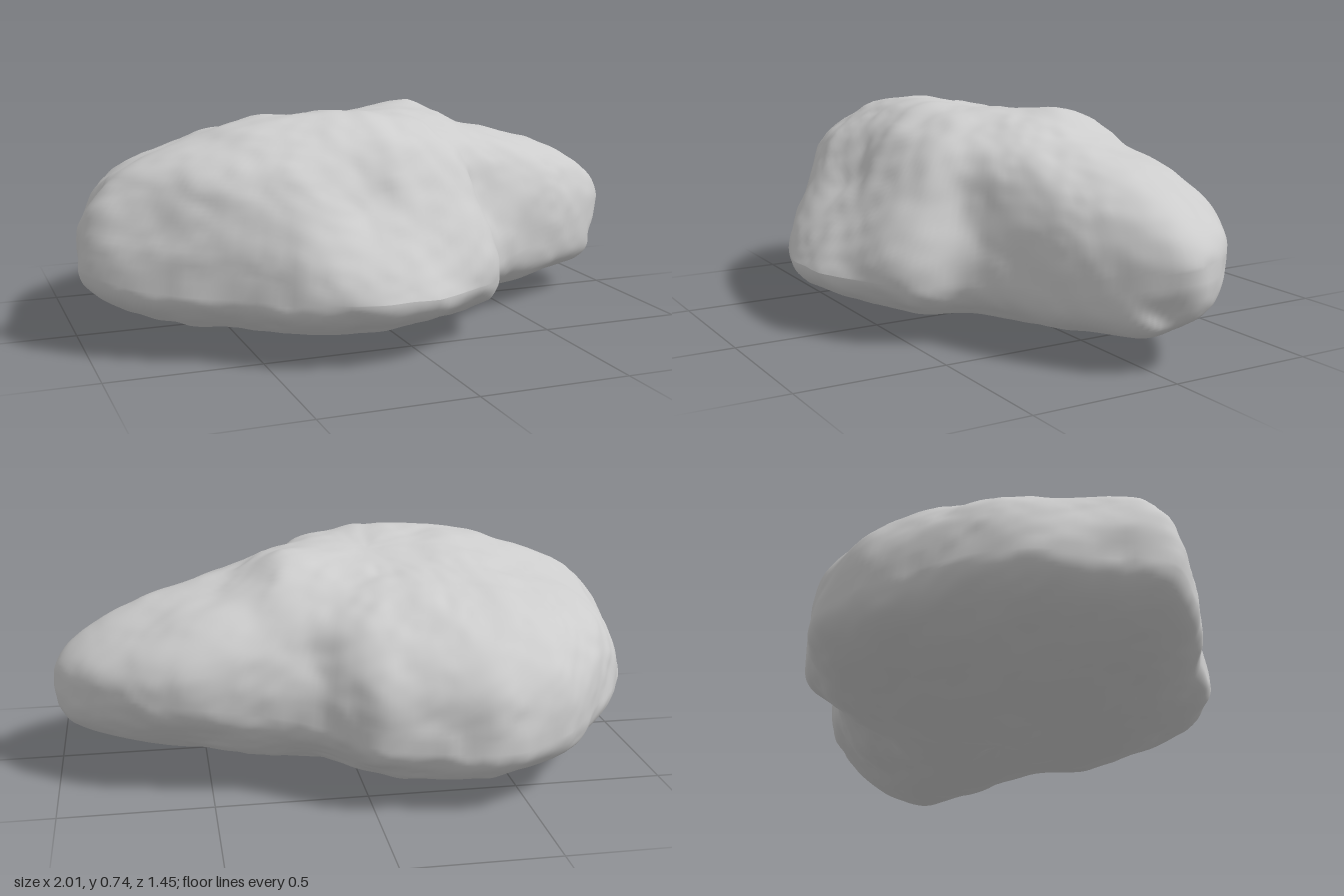
import * as THREE from 'three';
import { mergeVertices } from 'three/addons/utils/BufferGeometryUtils.js';

const { lerp, smoothstep } = THREE.MathUtils;

// Widest line of the boulder, walked from the right-hand nose (+x) round by the front: x, y, z
const RIM = [
  [1.0, 0.34, -0.06], [0.93, 0.32, 0.06], [0.75, 0.28, 0.18], [0.5, 0.25, 0.28],
  [0.36, 0.22, 0.38], [0.28, 0.21, 0.53], [0.1, 0.21, 0.67], [-0.08, 0.22, 0.72],
  [-0.28, 0.22, 0.69], [-0.55, 0.22, 0.54], [-0.85, 0.24, 0.36], [-1.0, 0.28, 0.2],
  [-0.96, 0.28, -0.1], [-0.92, 0.28, -0.28], [-0.82, 0.27, -0.42], [-0.64, 0.24, -0.63],
  [-0.42, 0.22, -0.73], [-0.2, 0.22, -0.69], [0.0, 0.24, -0.65], [0.2, 0.28, -0.5],
  [0.55, 0.32, -0.45], [0.75, 0.34, -0.38], [0.92, 0.34, -0.24],
];
const CENTRE = new THREE.Vector3(-0.08, 0.3, 0);
const AROUND = 220, HALF = 50;

// Lumps (+) and hollows (-): x, y, z, radius, push
const LUMPS = [
  [0.84, 0.1, 0.03, 0.1, 0.045], [0.97, 0.2, 0.0, 0.06, -0.03],
  [0.33, 0.42, 0.3, 0.12, -0.04], [0.2, 0.5, -0.5, 0.1, -0.04],
  [0.2, 0.72, -0.08, 0.17, 0.05], [-0.2, 0.47, 0.52, 0.08, -0.025],
  [-0.4, 0.68, 0.25, 0.17, 0.015], [-0.05, 0.68, 0.28, 0.17, 0.045],
  [0.55, 0.2, -0.42, 0.1, -0.025], [0.36, 0.6, -0.34, 0.09, -0.02],
];

// Crown tilts back and slopes down to the right; underside lifts to the right and front
const topHeight = (x, z) =>
  0.745 - 0.13 * Math.max(0, 0.25 - z) - 0.08 * Math.max(0, x - 0.2) - 0.03 * Math.max(0, -x - 0.3);
const bottomHeight = (x, z) => 0.01 + 0.06 * Math.max(0, x + 0.2) + 0.03 * Math.max(0, z);

function hash(x, y, z) {
  const n = Math.sin(x * 127.1 + y * 311.7 + z * 74.7) * 43758.5453;
  return (n - Math.floor(n)) * 2 - 1;
}

// Smooth value noise on a unit lattice
function noise(x, y, z) {
  const i = Math.floor(x), j = Math.floor(y), k = Math.floor(z);
  const u = smoothstep(x - i, 0, 1), v = smoothstep(y - j, 0, 1), w = smoothstep(z - k, 0, 1);
  const edge = (b, c) => lerp(hash(i, j + b, k + c), hash(i + 1, j + b, k + c), u);
  return lerp(lerp(edge(0, 0), edge(1, 0), v), lerp(edge(0, 1), edge(1, 1), v), w);
}

// Weathered roughness in three octaves
function roughness({ x, y, z }) {
  let sum = 0;
  for (let k = 0, f = 5, a = 0.016; k < 3; k++, f *= 2.1, a *= 0.5) {
    sum += a * noise(f * x + 7 * k, f * (y + 0.3 * x), f * (z - 0.3 * y));
  }
  return sum;
}

// Exponents [p, q] of the section s^p + f^q = 1 that runs from the rim to the pole
function upperSection({ x, z }) {
  // The front falls in a straight slope, its left shoulder is square, the back is full
  const slope = smoothstep(z, 0.3, 0.72) * smoothstep(x, -0.7, -0.1);
  const shoulder = smoothstep(z, 0.1, 0.4) * smoothstep(-x, 0.1, 0.5);
  const back = smoothstep(-z, 0.3, 0.6);
  const round = 2.5 - 0.4 * smoothstep(x, 0.5, 1) + 0.4 * shoulder + 0.3 * back;
  return [lerp(round, 2.4, slope), lerp(round, 1, slope)];
}

function lowerSection({ x, z }) {
  const p = 2.2 + 1.6 * smoothstep(x, 0.1, 0.7) * (1 - smoothstep(-z, 0.1, 0.4));
  return [p, p];
}

function surfacePoint(rim, row) {
  const upper = row >= HALF;
  const a = (Math.abs(row - HALF) / HALF) * Math.PI / 2;
  const [p, q] = upper ? upperSection(rim) : lowerSection(rim);
  const s = Math.pow(Math.max(0, Math.cos(a)), 2 / p);
  const f = Math.pow(Math.sin(a), 2 / q);
  const x = lerp(CENTRE.x, rim.x, s);
  const z = lerp(CENTRE.z, rim.z, s);
  const y = lerp(rim.y, upper ? topHeight(x, z) : bottomHeight(x, z), f);
  const v = new THREE.Vector3(x, y, z);
  const out = v.clone().sub(CENTRE).normalize();
  let push = roughness(v);
  for (const [lx, ly, lz, r, d] of LUMPS) {
    push += d * Math.exp(-((x - lx) ** 2 + (y - ly) ** 2 + (z - lz) ** 2) / (r * r));
  }
  return v.addScaledVector(out, push);
}

function boulderGeometry() {
  const curve = new THREE.CatmullRomCurve3(RIM.map((p) => new THREE.Vector3(...p)), true);
  const rims = curve.getSpacedPoints(AROUND).slice(0, AROUND);
  const positions = [], index = [];
  for (let j = 0; j <= 2 * HALF; j++) {
    for (const rim of rims) positions.push(...surfacePoint(rim, j).toArray());
  }
  for (let j = 0; j < 2 * HALF; j++) {
    for (let i = 0; i < AROUND; i++) {
      const n = (i + 1) % AROUND;
      const a = j * AROUND + i, b = a + AROUND, c = j * AROUND + n, d = c + AROUND;
      if (j > 0) index.push(a, b, c);
      if (j < 2 * HALF - 1) index.push(b, d, c);
    }
  }
  let geometry = new THREE.BufferGeometry();
  geometry.setAttribute('position', new THREE.Float32BufferAttribute(positions, 3));
  geometry.setIndex(index);
  geometry = mergeVertices(geometry, 1e-5);
  // Centre it and stand it on the ground
  geometry.computeBoundingBox();
  const mid = geometry.boundingBox.getCenter(new THREE.Vector3());
  geometry.translate(-mid.x, -geometry.boundingBox.min.y, -mid.z);
  geometry.computeVertexNormals();
  return geometry;
}

export function createModel() {
  const group = new THREE.Group();
  group.name = 'rock';
  const boulder = new THREE.Mesh(boulderGeometry(), new THREE.MeshStandardMaterial({ color: 0xcccccc }));
  boulder.name = 'boulder';
  group.add(boulder);
  return group;
}
